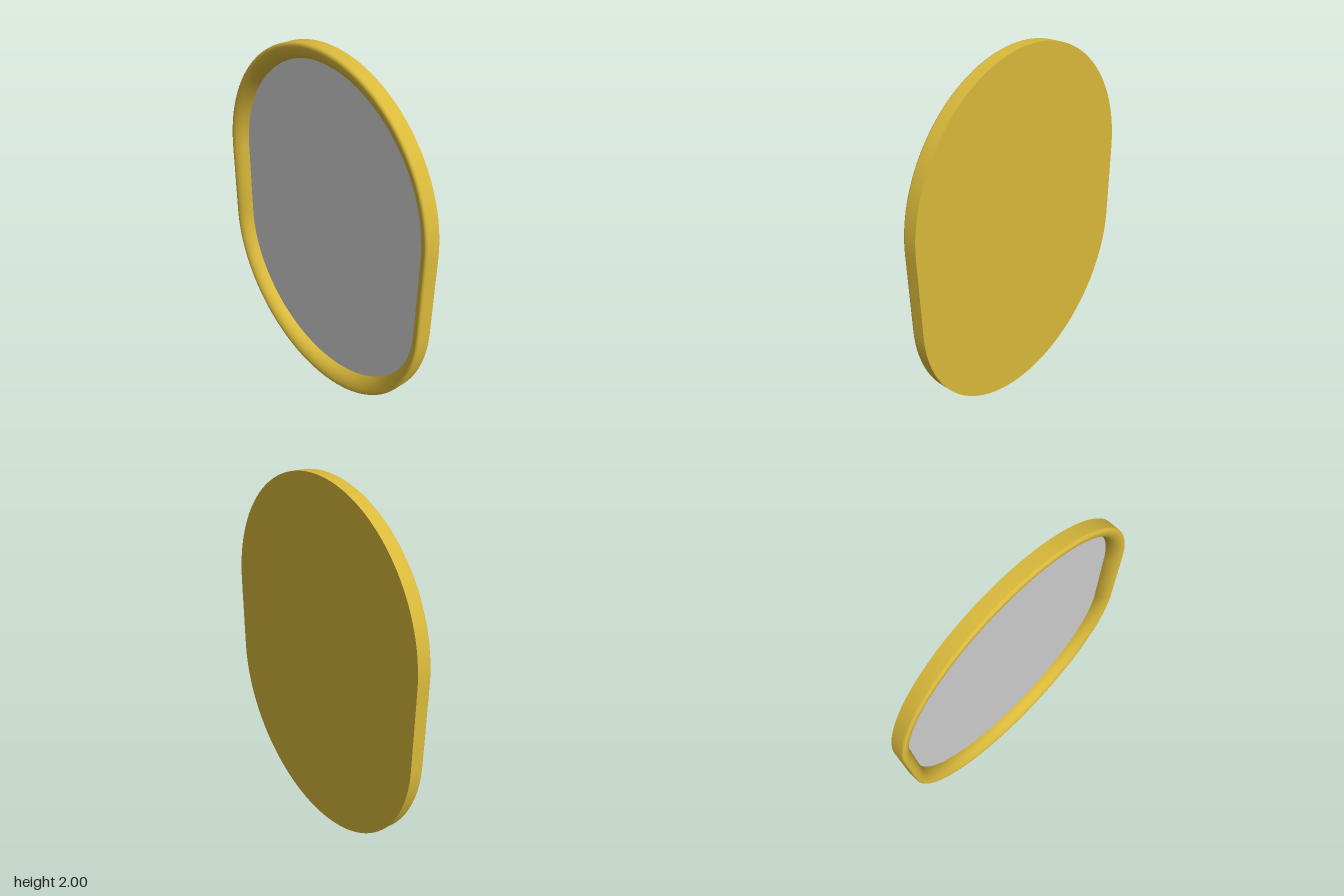
import * as THREE from 'three';

const HALF_W = 0.78, STRAIGHT = 0.22;  // arc radius and half length of the straight sides
const RIM_X = 0.068, RIM_Y = 0.088;    // rim width at the sides and at top and bottom
const BACK_Z = -0.04, GLASS_Z = -0.034;
const ARC_STEPS = 64;

// Closed stadium outline, counter-clockwise; t = 0 is the outer edge, 1 the inner edge
function outline(t) {
  const pts = [];
  for (const start of [0, Math.PI]) {
    for (let i = 0; i <= ARC_STEPS; i++) {
      const a = start + (Math.PI * i) / ARC_STEPS;
      const cy = start === 0 ? 1 + STRAIGHT : 1 - STRAIGHT;
      pts.push(new THREE.Vector2(
        Math.cos(a) * (HALF_W - t * RIM_X),
        cy + Math.sin(a) * (HALF_W - t * RIM_Y)));
    }
  }
  return pts;
}

// Rim cross-section as (t, z): straight outer wall, rounded crest, steep fall to the glass
function rimProfile() {
  const profile = [[0, BACK_Z], [0, 0], [0, 0.026]];
  for (let i = 1; i <= 5; i++) {
    const a = (Math.PI / 2) * (i / 5);
    profile.push([0.2 * (1 - Math.cos(a)), 0.026 + 0.014 * Math.sin(a)]);
  }
  for (let i = 1; i <= 12; i++) {
    const a = (Math.PI / 2) * (i / 12);
    profile.push([0.2 + 0.8 * Math.sin(a), GLASS_Z + (0.04 - GLASS_Z) * Math.cos(a)]);
  }
  return profile;
}

// Sweep the cross-section round the outline
function rimGeometry() {
  const profile = rimProfile(), positions = [], indices = [];
  for (const [t, z] of profile) {
    for (const p of outline(t)) positions.push(p.x, p.y, z);
  }
  const n = 2 * (ARC_STEPS + 1);
  for (let j = 0; j < profile.length - 1; j++) {
    for (let i = 0; i < n; i++) {
      const k = (i + 1) % n;
      const a = j * n + i, b = j * n + k, c = b + n, d = a + n;
      indices.push(a, b, c, a, c, d);
    }
  }
  const geo = new THREE.BufferGeometry();
  geo.setAttribute('position', new THREE.Float32BufferAttribute(positions, 3));
  geo.setIndex(indices);
  geo.computeVertexNormals();
  return geo;
}

export function createModel() {
  const group = new THREE.Group();
  group.name = 'wallMirror';
  const gold = new THREE.MeshStandardMaterial({ color: 0xd9b93b });
  const grey = new THREE.MeshStandardMaterial({ color: 0xcccccc });

  const add = (name, geometry, material) => {
    const mesh = new THREE.Mesh(geometry, material);
    mesh.name = name;
    group.add(mesh);
    return mesh;
  };

  add('frameRim', rimGeometry(), gold);

  // Flat back panel, facing -z (the outline is symmetric, so a half turn keeps it in place)
  const back = new THREE.ShapeGeometry(new THREE.Shape(outline(0)));
  back.rotateY(Math.PI);
  add('backPanel', back, gold).position.z = BACK_Z;

  // Glass set deep inside the rim
  const glass = new THREE.ShapeGeometry(new THREE.Shape(outline(1)));
  add('mirrorGlass', glass, grey).position.z = GLASS_Z;

  return group;
}
